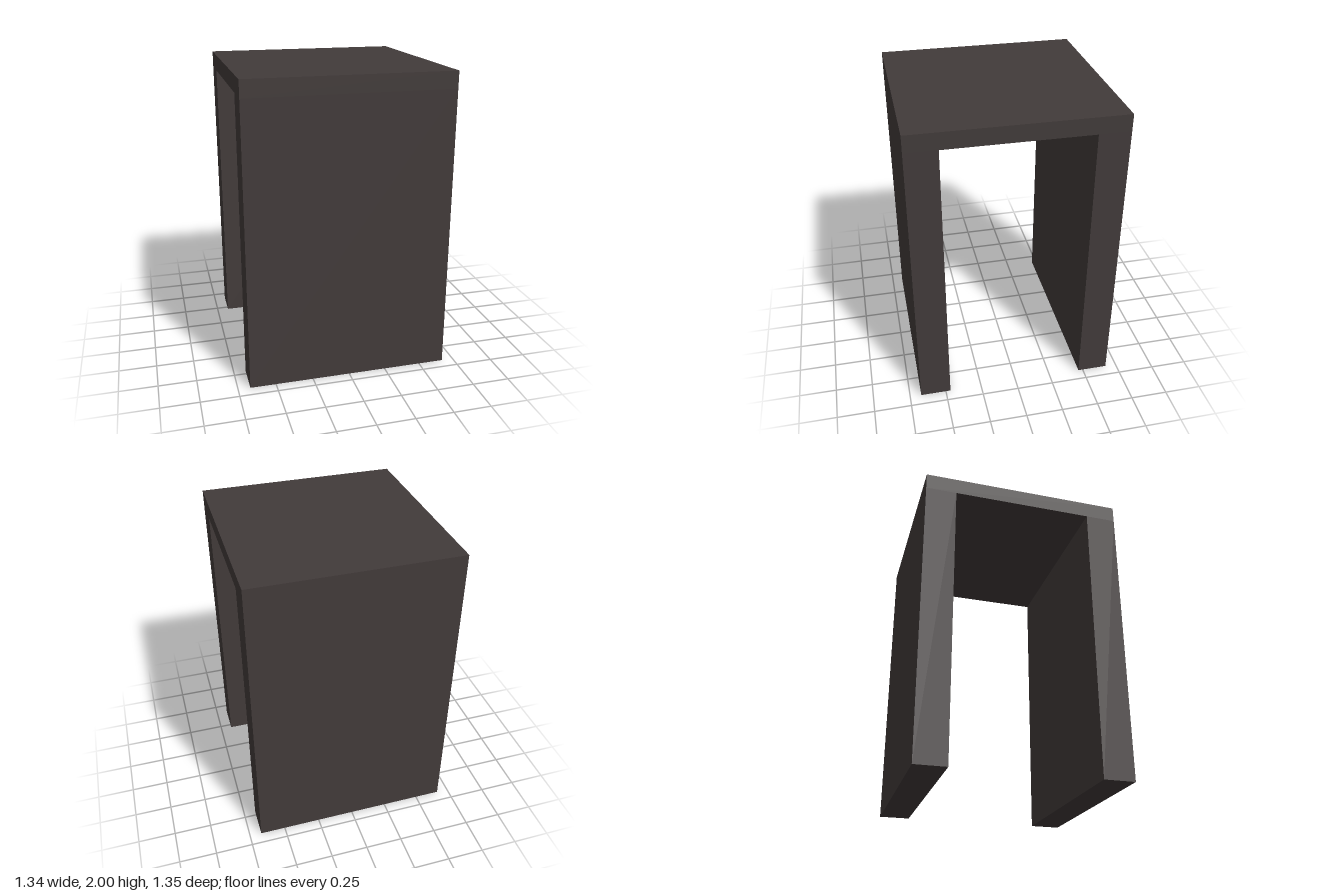
import * as THREE from 'three';

const WIDTH = 1.34, DEPTH = 1.346, HEIGHT = 2;
const TOP = 0.11, LEG = 0.205;

export function createModel() {
  const group = new THREE.Group();
  group.name = 'stool';
  const darkWood = new THREE.MeshStandardMaterial({ color: 0x423b3a });
  darkWood.name = 'darkWood';

  const addPanel = (name, height, depth, y, z) => {
    const mesh = new THREE.Mesh(new THREE.BoxGeometry(WIDTH, height, depth), darkWood);
    mesh.name = name;
    mesh.position.set(0, y, z);
    group.add(mesh);
  };

  // Flat seat slab across both legs
  addPanel('seat', TOP, DEPTH, HEIGHT - TOP / 2, 0);

  // Full-width slab legs, flush with the front and back of the seat
  const legHeight = HEIGHT - TOP;
  for (const [name, side] of [['frontLeg', 1], ['backLeg', -1]]) {
    addPanel(name, legHeight, LEG, legHeight / 2, side * (DEPTH - LEG) / 2);
  }
  return group;
}
